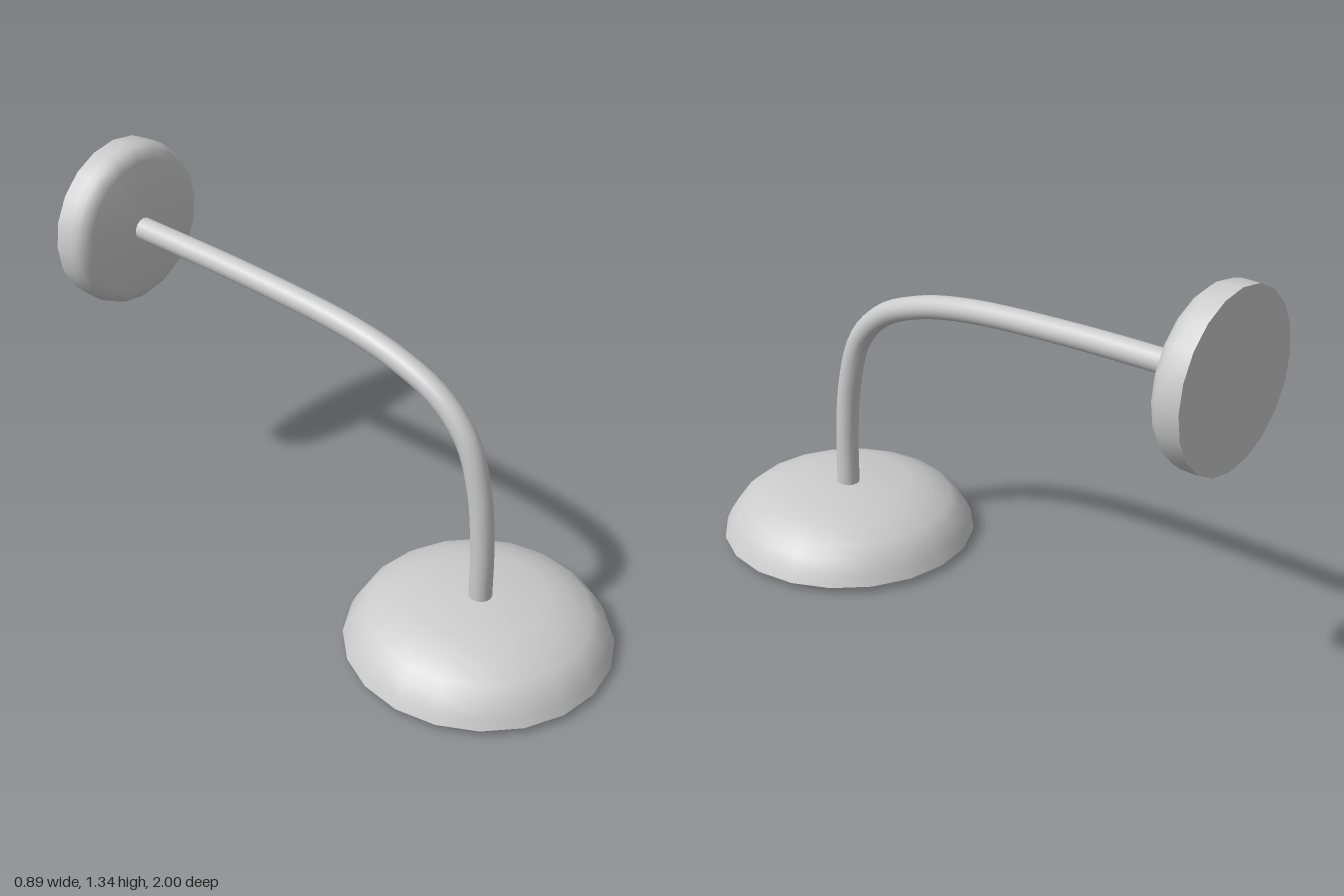
import * as THREE from 'three';
import { toCreasedNormals, mergeGeometries } from 'three/addons/utils/BufferGeometryUtils.js';

const HEAD_Z = 0.555;
const PLATE_Y = 1.055;
const grey = new THREE.MeshStandardMaterial({ color: 0xcccccc });

function addMesh(group, name, geometry) {
  const mesh = new THREE.Mesh(geometry, grey);
  mesh.name = name;
  group.add(mesh);
  return mesh;
}

// Twenty-sided turned part; profile runs from bottom axis to top axis
function turned(profile) {
  const points = profile.map(([r, y]) => new THREE.Vector2(r, y));
  return toCreasedNormals(new THREE.LatheGeometry(points, 20), THREE.MathUtils.degToRad(38));
}

export function createModel() {
  const model = new THREE.Group();
  model.name = 'showerHeadAndArm';

  // Domed head with a bevelled rim and a shallow recessed underside
  addMesh(model, 'showerHead', turned([
    [0, 0.012], [0.385, 0.018], [0.395, 0.01], [0.435, 0.01], [0.445, 0.025],
    [0.43, 0.06], [0.4, 0.108], [0.365, 0.14], [0.3, 0.172], [0.22, 0.198], [0, 0.2],
  ])).position.z = HEAD_Z;

  // Spray nozzles in concentric rings
  const nozzles = [];
  for (let ring = 0; ring <= 5; ring++) {
    const count = ring === 0 ? 1 : ring * 6;
    for (let i = 0; i < count; i++) {
      const a = (i / count) * Math.PI * 2;
      const r = ring * 0.068;
      const nozzle = new THREE.CylinderGeometry(0.006, 0.004, 0.014, 8);
      nozzle.translate(Math.sin(a) * r, 0.01 + ring * 0.001, Math.cos(a) * r);
      nozzles.push(nozzle);
    }
  }
  addMesh(model, 'sprayNozzles', mergeGeometries(nozzles)).position.z = HEAD_Z;

  // Small central boss under the head
  const boss = addMesh(model, 'centreBoss', new THREE.CylinderGeometry(0.03, 0.025, 0.014, 16));
  boss.position.set(0, 0.009, HEAD_Z);

  // Curved arm from the head up and back to the wall
  const path = new THREE.CatmullRomCurve3([
    [0.19, 0.555], [0.4, 0.552], [0.6, 0.53], [0.77, 0.475], [0.885, 0.365],
    [0.957, 0.2], [1.0, 0], [1.033, -0.4], [1.05, -0.92],
  ].map(([y, z]) => new THREE.Vector3(0, y, z)), false, 'centripetal');
  addMesh(model, 'arm', new THREE.TubeGeometry(path, 48, 0.039, 16));

  // Round wall plate with a rounded front edge and flat back
  const plate = addMesh(model, 'wallPlate', turned([
    [0, 0], [0.285, 0], [0.285, 0.06], [0.279, 0.087], [0.263, 0.106], [0.238, 0.117], [0, 0.119],
  ]));
  plate.rotation.x = Math.PI / 2;
  plate.position.set(0, PLATE_Y, -1);

  return model;
}
